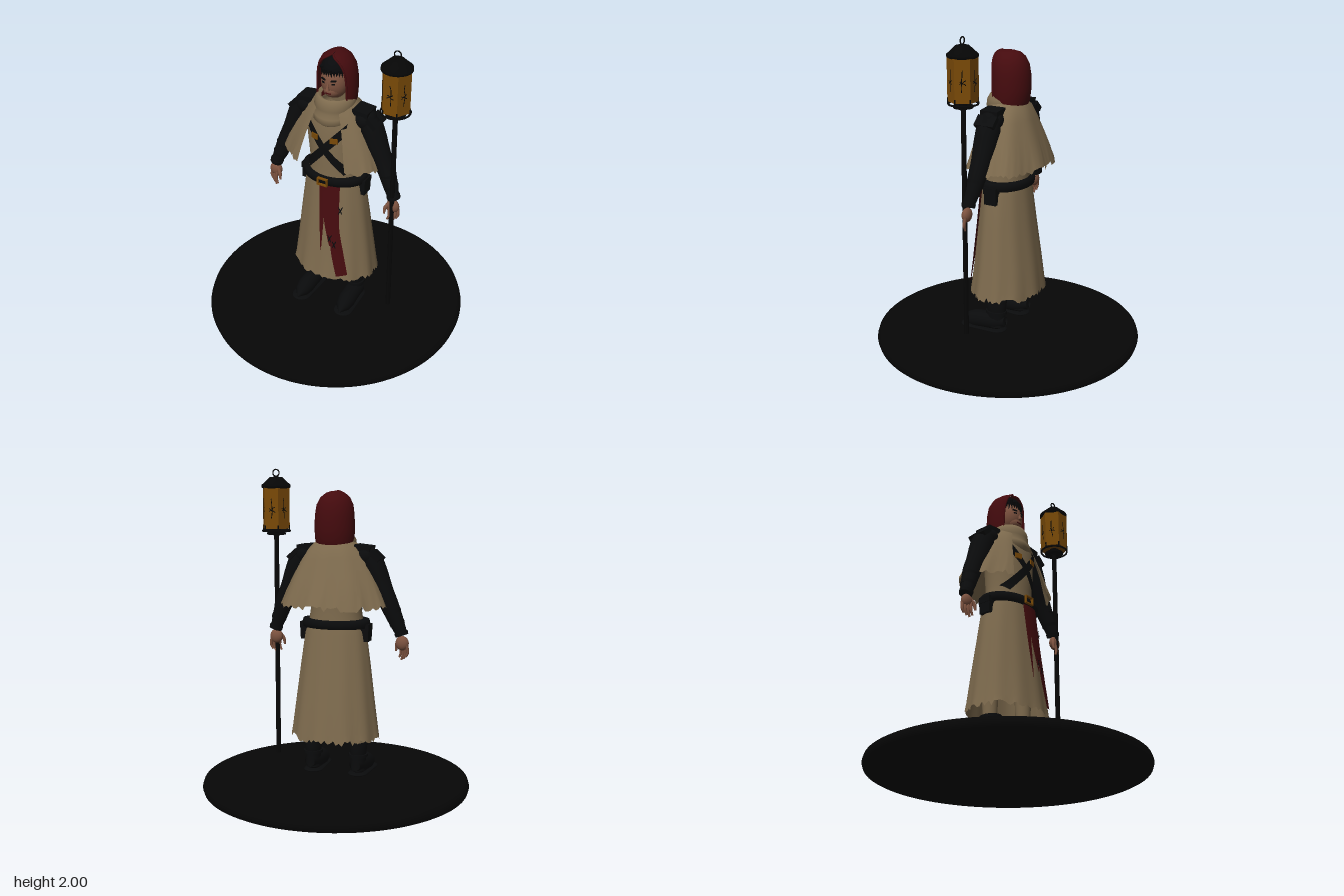
import * as THREE from 'three';

const V = (x, y, z) => new THREE.Vector3(x, y, z);
const mat = (name, color, extra = {}) => Object.assign(new THREE.MeshStandardMaterial({ color, ...extra }), { name });
const two = { side: THREE.DoubleSide };

export function createModel() {
  const cream = mat('cream cloth', 0x7e6b4e, two);
  const red = mat('red cloth', 0x450b0e, two);
  const leather = mat('black leather', 0x0a0b0c, two);
  const iron = mat('black iron', 0x060606);
  const gold = mat('amber', 0x7a4a07, { flatShading: true });
  const skin = mat('skin', 0x7c523f);
  const hairMat = mat('dark hair', 0x08090b);

  const model = new THREE.Group();
  model.name = 'lanternBearer';
  const add = (name, geo, material, x = 0, y = 0, z = 0) => {
    const m = new THREE.Mesh(geo, material);
    m.name = name;
    m.position.set(x, y, z);
    model.add(m);
    return m;
  };
  let seed = 7;
  const rnd = () => (seed = (seed * 16807) % 2147483647) / 2147483647;

  // Surface through rows of points, ordered top to bottom and left to right
  const grid = (rows, wrap = false) => {
    const n = rows[0].length, idx = [];
    for (let r = 0; r < rows.length - 1; r++)
      for (let c = 0; c < (wrap ? n : n - 1); c++) {
        const a = r * n + c, b = r * n + (c + 1) % n;
        idx.push(a, a + n, b, b, a + n, b + n);
      }
    const g = new THREE.BufferGeometry().setFromPoints(rows.flat());
    g.setIndex(idx);
    g.computeVertexNormals();
    return g;
  };

  // Profile rows: [y, half width, front z, back z, opening half angle]
  const ringPoint = ([y, rx, zf, zb], a, k = 1) =>
    V(rx * k * Math.sin(a), y, (zf + zb) / 2 + (zf - zb) / 2 * k * Math.cos(a));
  const shell = (prof, { n = 64, folds = 0, amp = 0, rag = 0, dip = 0 } = {}) => {
    const wrap = prof[0][4] === undefined;
    const rows = prof.map((p, r) => {
      const f = r / (prof.length - 1), open = p[4] || 0, row = [];
      for (let c = 0; c < n; c++) {
        const a = open + (2 * Math.PI - 2 * open) * c / (wrap ? n : n - 1);
        const v = ringPoint(p, a, 1 + amp * f * Math.sin(folds * a));
        v.y -= dip * f * Math.max(0, Math.cos(a));
        if (f === 1) v.y += rag * (rnd() - 0.5);
        row.push(v);
      }
      return row;
    });
    return grid(rows, wrap);
  };
  const surfaceZ = (prof, x, y) => {
    let i = 0;
    while (i < prof.length - 2 && y < prof[i + 1][0]) i++;
    const t = THREE.MathUtils.clamp((prof[i][0] - y) / (prof[i][0] - prof[i + 1][0]), 0, 1);
    const [rx, zf, zb] = [1, 2, 3].map(k => THREE.MathUtils.lerp(prof[i][k], prof[i + 1][k], t));
    return (zf + zb) / 2 + (zf - zb) / 2 * Math.sqrt(Math.max(0, 1 - (x / rx) ** 2));
  };
  // Cloth or leather strip laid on a body profile; points are [x, y, half width]
  const strip = (pts, prof, off) => {
    const curve = new THREE.CatmullRomCurve3(pts.map(p => V(...p))), rows = [];
    for (let i = 0; i <= 24; i++) {
      const p = curve.getPoint(i / 24), t = curve.getTangent(i / 24).setZ(0).normalize();
      rows.push([-1, -0.5, 0, 0.5, 1].map(j => {
        const x = p.x - t.y * j * p.z, y = p.y + t.x * j * p.z;
        return V(x, y, surfaceZ(prof, x, y) + off);
      }));
    }
    return grid(rows);
  };
  // Tube with changing radius
  const limb = (pts, radii, seg = 24, sides = 14) => {
    const curve = new THREE.CatmullRomCurve3(pts.map(p => V(...p)));
    const g = new THREE.TubeGeometry(curve, seg, 1, sides), pos = g.attributes.position, v = V(0, 0, 0);
    for (let i = 0; i < pos.count; i++) {
      const u = Math.floor(i / (sides + 1)) / seg, f = u * (radii.length - 1);
      const k = Math.min(Math.floor(f), radii.length - 2), c = curve.getPointAt(u);
      v.fromBufferAttribute(pos, i).sub(c).multiplyScalar(THREE.MathUtils.lerp(radii[k], radii[k + 1], f - k)).add(c);
      pos.setXYZ(i, v.x, v.y, v.z);
    }
    return g;
  };
  const ball = (name, m, x, y, z, sx, sy, sz) => add(name, new THREE.SphereGeometry(1, 24, 16), m, x, y, z).scale.set(sx, sy, sz);
  const box = (name, m, x, y, z, w, h, d) => add(name, new THREE.BoxGeometry(w, h, d), m, x, y, z);
  const lathe = (pts, n) => new THREE.LatheGeometry(pts.map(p => new THREE.Vector2(...p)), n);

  // Display base
  add('base', lathe([[0, 0], [0.815, 0], [0.834, 0.01], [0.842, 0.035], [0.834, 0.06], [0.815, 0.07], [0, 0.07]], 80), iron);

  // Robe
  const torso = [[1.55, 0.13, 0.1, -0.1], [1.45, 0.19, 0.125, -0.12], [1.3, 0.175, 0.14, -0.13], [1.15, 0.16, 0.135, -0.125], [1.05, 0.175, 0.14, -0.13]];
  const skirt = [[1.06, 0.175, 0.14, -0.13], [1, 0.195, 0.145, -0.14], [0.8, 0.222, 0.165, -0.165], [0.55, 0.253, 0.19, -0.2], [0.4, 0.272, 0.208, -0.218], [0.345, 0.28, 0.215, -0.225]];
  add('torso', shell(torso), cream);
  add('skirt', shell(skirt, { n: 96, folds: 11, amp: 0.02, rag: 0.035 }), cream);
  const cape = [[1.58, 0.1, 0.09, -0.1], [1.53, 0.16, 0.115, -0.14], [1.46, 0.21, 0.135, -0.165], [1.36, 0.265, 0.165, -0.2], [1.26, 0.31, 0.192, -0.235], [1.175, 0.345, 0.212, -0.26]];
  add('cape', shell(cape.map(p => [...p, 0.48]), { n: 90, folds: 9, amp: 0.025, rag: 0.035 }), cream);
  add('cowl', shell([[1.59, 0.085, 0.09, -0.09], [1.605, 0.105, 0.11, -0.1], [1.58, 0.122, 0.125, -0.115], [1.545, 0.127, 0.13, -0.12],
    [1.525, 0.118, 0.125, -0.115], [1.505, 0.132, 0.14, -0.125], [1.475, 0.135, 0.145, -0.13], [1.455, 0.115, 0.12, -0.12]], { dip: 0.03 }), cream);

  // Torn sash with dark stitching
  [[[-0.008, 1.05, 0.024], [-0.005, 0.8, 0.016], [0, 0.55, 0.002]],
    [[0.04, 1.05, 0.045], [0.045, 0.82, 0.036], [0.05, 0.7, 0.018], [0.06, 0.6, 0.002]],
    [[0.075, 1.05, 0.027], [0.083, 0.75, 0.03], [0.108, 0.57, 0.036], [0.146, 0.39, 0.033]]
  ].forEach((p, i) => add('sash', strip(p, skirt, 0.01 + i * 0.003), red));
  for (const [x, y] of [[0.115, 0.87], [0.06, 0.66], [0.09, 0.62]])
    for (const s of [-1, 1])
      add('stitch', strip([[x - 0.012 * s, y + 0.025, 0.002], [x, y, 0.004], [x + 0.01 * s, y - 0.025, 0.002]], skirt, 0.019 + s * 0.001), hairMat);

  // Belt, buckle and crossed straps
  add('belt', shell([[1.088, 0.17, 0.13, -0.12], [1.085, 0.21, 0.16, -0.15], [1.06, 0.216, 0.164, -0.154], [1.035, 0.21, 0.16, -0.15], [1.032, 0.17, 0.13, -0.12]]), leather);
  for (const [x, y, w, h] of [[0, 0.022, 0.07, 0.008], [0, -0.022, 0.07, 0.008], [-0.031, 0, 0.008, 0.05], [0.031, 0, 0.008, 0.05]])
    box('beltBuckle', gold, x, 1.06 + y, 0.17, w, h, 0.016);
  for (const s of [-1, 1]) {
    add('crossStrap', strip([[s * 0.165, 1.47, 0.025], [0, 1.285, 0.025], [-s * 0.135, 1.125, 0.025]], torso, 0.012 + (s > 0 ? 0.004 : 0)), leather);
    box('strapBuckle', gold, s * 0.065, 1.355, surfaceZ(torso, 0.065, 1.355) + 0.017, 0.048, 0.034, 0.009).rotation.y = s * 0.3;
    box('pouch', leather, s * 0.195, 1.005, 0.0, 0.05, 0.105, 0.08);
    box('pouchFlap', leather, s * 0.198, 1.04, 0.0, 0.052, 0.04, 0.086);
  }

  // Arms and hands
  for (const s of [-1, 1]) {
    ball('shoulder', leather, s * 0.195, 1.475, -0.005, 0.075, 0.068, 0.073);
    add('sleeve', limb([[s * 0.17, 1.5, -0.005], [s * 0.222, 1.45, -0.005], [s * 0.285, 1.31, 0], [s * 0.343, 1.18, 0.005], [s * 0.415, 1, 0.03]],
      [0.05, 0.074, 0.07, 0.06, 0.056, 0.047, 0.035]), leather);
    box('shoulderPad', leather, s * 0.185, 1.527, -0.005, 0.1, 0.035, 0.115).rotation.z = -s * 0.1;
    box('shoulderPlate', leather, s * 0.262, 1.48, -0.005, 0.075, 0.03, 0.13).rotation.z = -s * 0.75;
    for (const [x, y, z, r] of [[0.362, 1.14, 0.01, 0.053], [0.388, 1.07, 0.018, 0.048], [0.413, 1.005, 0.028, 0.043]])
      add('bracerBand', new THREE.CylinderGeometry(r, r * 0.95, 0.022, 16), leather, s * x, y, z).rotation.z = s * 0.33;
    ball('palm', skin, s * 0.415, 0.945, 0.038, 0.042, 0.045, 0.027);
    for (let i = 0; i < 4; i++) {
      const x = 0.397 + i * 0.016, z = 0.055 - i * 0.008, tip = 0.835 + Math.abs(i - 1.2) * 0.014;
      add('finger', limb([[s * x, 0.935, z], [s * (x + 0.006), 0.885, z + 0.006], [s * (x - 0.006), tip, z + 0.008]], [0.011, 0.01, 0.006], 8, 8), skin);
    }
    add('thumb', limb([[s * 0.395, 0.965, 0.045], [s * 0.375, 0.93, 0.06], [s * 0.37, 0.89, 0.066]], [0.012, 0.012, 0.006], 8, 8), skin);
  }

  // Legs and boots
  for (const s of [-1, 1]) {
    const x = s * 0.15;
    add('trouserLeg', new THREE.CylinderGeometry(0.06, 0.042, 0.45, 20), cream, x, 0.5, -0.01);
    add('bootFoot', limb([[x, 0.165, -0.066], [x, 0.155, 0.04], [x * 1.02, 0.147, 0.13], [x * 1.04, 0.13, 0.21], [x * 1.05, 0.12, 0.24]],
      [0.03, 0.055, 0.056, 0.056, 0.057, 0.045, 0.003], 24, 18), leather);
    add('bootShaft', lathe([[0.05, 0.13], [0.046, 0.2], [0.05, 0.24], [0.056, 0.31], [0.042, 0.31]], 24), leather, x, 0, -0.004).scale.z = 1.25;
    for (const y of [0.225, 0.3]) add('bootStrap', new THREE.CylinderGeometry(0.06, 0.06, 0.018, 24), leather, x, y, -0.004).scale.z = 1.15;
    const sole = add('sole', new THREE.CapsuleGeometry(0.063, 0.19, 8, 24).rotateX(Math.PI / 2), leather, s * 0.153, 0.104, 0.088);
    sole.scale.y = 0.2;
    sole.rotation.y = s * 0.05;
  }

  // Head, face and hair
  ball('head', skin, 0, 1.69, 0.005, 0.084, 0.115, 0.092);
  ball('jaw', skin, 0, 1.645, 0.03, 0.06, 0.055, 0.066);
  add('nose', new THREE.ConeGeometry(0.013, 0.05, 8), skin, 0, 1.685, 0.098).rotation.x = -0.2;
  box('mouth', red, 0, 1.637, 0.094, 0.036, 0.006, 0.008);
  for (const s of [-1, 1]) {
    box('eye', hairMat, s * 0.032, 1.702, 0.089, 0.02, 0.008, 0.008).rotation.y = s * 0.35;
    box('eyebrow', hairMat, s * 0.033, 1.722, 0.088, 0.032, 0.007, 0.009).rotation.set(0, s * 0.35, s * 0.12);
  }
  const cap = add('hair', new THREE.SphereGeometry(1, 28, 12, 0, Math.PI * 2, 0, Math.PI * 0.5), hairMat, 0, 1.77, 0);
  cap.scale.set(0.084, 0.08, 0.092);
  for (let i = -5; i <= 5; i++) {
    const a = i * 0.2;
    const lock = add('fringe', new THREE.ConeGeometry(0.012, 0.035 + 0.04 * rnd(), 6), hairMat, 0.08 * Math.sin(a), 1.762, 0.087 * Math.cos(a));
    lock.rotation.set(Math.PI, 0, 0.4 * (rnd() - 0.5));
  }

  // Hood with a rolled rim
  const hood = [[1.868, 0.001, -0.005, -0.015, 0.02], [1.866, 0.025, 0.035, -0.05, 0.05], [1.856, 0.055, 0.065, -0.085, 0.4], [1.83, 0.088, 0.085, -0.112, 0.68], [1.785, 0.112, 0.095, -0.133, 0.82],
    [1.72, 0.121, 0.095, -0.143, 0.88], [1.64, 0.124, 0.095, -0.144, 0.9], [1.57, 0.12, 0.09, -0.135, 0.93], [1.53, 0.11, 0.085, -0.12, 1]];
  add('hood', shell(hood), red);
  const edge = s => hood.slice(1).map(p => ringPoint(p, s * p[4]));
  const rim = new THREE.CatmullRomCurve3([...edge(-1).reverse(), ...edge(1)]);
  add('hoodRim', new THREE.TubeGeometry(rim, 60, 0.006, 8), red);

  // Lantern staff
  const lx = 0.415, lz = 0.053;
  add('pole', new THREE.CylinderGeometry(0.015, 0.015, 1.45, 16), iron, lx, 0.895, lz);
  add('lanternGlass', new THREE.CylinderGeometry(0.09, 0.09, 0.255, 6).rotateY(Math.PI / 6), gold, lx, 1.757, lz);
  add('lanternRoof', lathe([[0, 1.872], [0.07, 1.874], [0.092, 1.885], [0.092, 1.9], [0.062, 1.926], [0.04, 1.948], [0, 1.953]], 24), iron, lx, 0, lz);
  add('lanternLoop', new THREE.TorusGeometry(0.021, 0.004, 8, 24), iron, lx, 1.975, lz);
  add('lanternRing', new THREE.TorusGeometry(0.086, 0.006, 8, 32).rotateX(Math.PI / 2), iron, lx, 1.615, lz);
  add('lanternFloor', new THREE.CylinderGeometry(0.062, 0.058, 0.012, 24), iron, lx, 1.597, lz);
  add('lanternSocket', new THREE.CylinderGeometry(0.03, 0.02, 0.05, 16), iron, lx, 1.61, lz);
  for (let i = 0; i < 6; i++) {
    const a = i * Math.PI / 3, b = a + Math.PI / 6;
    add('lanternBar', new THREE.CylinderGeometry(0.005, 0.005, 0.04, 6), iron, lx + 0.087 * Math.sin(b), 1.632, lz + 0.087 * Math.cos(b));
    // Dark cracks on each pane: one long, two short
    for (const [y, dx, dy] of [[1.755, 0, 0.032], [1.75, 0.009, 0.006], [1.745, 0.009, -0.006]]) {
      const crack = [-2, -1, 0, 1, 2].map(k => V(k * dx + (rnd() - 0.5) * 0.012, y + k * dy + (rnd() - 0.5) * 0.006, 0.0775));
      add('glassCrack', new THREE.TubeGeometry(new THREE.CatmullRomCurve3(crack), 16, 0.0025, 5), iron, lx, 0, lz).rotation.y = a;
    }
  }
  return model;
}
